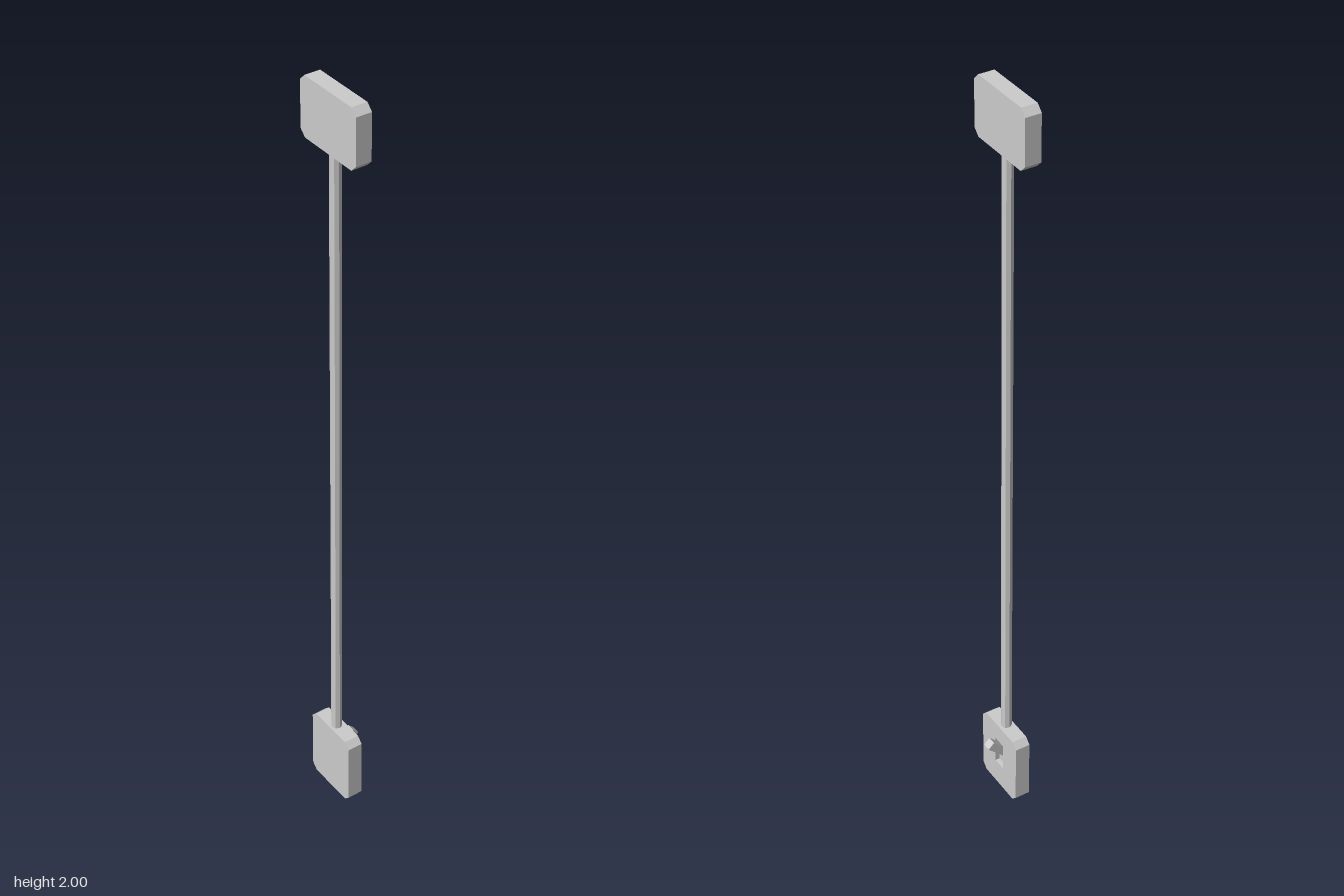
import * as THREE from 'three';

const material = new THREE.MeshStandardMaterial({ color: 0xcccccc, flatShading: true });
const DEPTH = 0.04; // box thickness, from the wall face at x = -0.04 to x = 0

function addMesh(group, name, geometry, x = 0, y = 0, z = 0) {
  const mesh = new THREE.Mesh(geometry, material);
  mesh.name = name;
  mesh.position.set(x, y, z);
  group.add(mesh);
  return mesh;
}

// Rectangle with cut corners, centred on the origin
function chamferedShape(w, h, c) {
  const a = w / 2, b = h / 2;
  return new THREE.Shape([
    [-a + c, -b], [a - c, -b], [a, -b + c], [a, b - c],
    [a - c, b], [-a + c, b], [-a, b - c], [-a, -b + c],
  ].map(([x, y]) => new THREE.Vector2(x, y)));
}

// Extrude along +x, with the shape's width lying along z
function extrudeAlongX(shape, depth) {
  return new THREE.ExtrudeGeometry(shape, { depth, bevelEnabled: false }).rotateY(Math.PI / 2);
}

export function createModel() {
  const model = new THREE.Group();
  model.name = 'wallSwitch';

  // Upper junction box
  addMesh(model, 'junctionBox', extrudeAlongX(chamferedShape(0.2, 0.147, 0.016), DEPTH), -DEPTH, 1.9265, 0);

  // Conduit running between the boxes
  const conduit = new THREE.CylinderGeometry(0.0138, 0.0138, 1.68, 8);
  addMesh(model, 'conduit', conduit, -0.021, 1.03, 0);

  // Switch box: solid back and a front layer with a slot for the lever
  const slotDepth = 0.012;
  const outline = () => chamferedShape(0.158, 0.2, 0.016);
  addMesh(model, 'switchBoxBack', extrudeAlongX(outline(), DEPTH - slotDepth), -DEPTH, 0.1, 0);
  const front = outline();
  front.holes.push(new THREE.Path([
    [-0.018, -0.03], [-0.018, 0.048], [0.018, 0.048], [0.018, -0.03],
  ].map(([x, y]) => new THREE.Vector2(x, y))));
  addMesh(model, 'switchBoxFront', extrudeAlongX(front, slotDepth), -slotDepth, 0.1, 0);

  // Toggle lever, tilted upwards out of the slot
  const lever = new THREE.BoxGeometry(0.07, 0.022, 0.022).translate(-0.035, 0, 0);
  addMesh(model, 'lever', lever, 0.0305, 0.158, 0).rotation.z = Math.PI / 4;

  return model;
}
